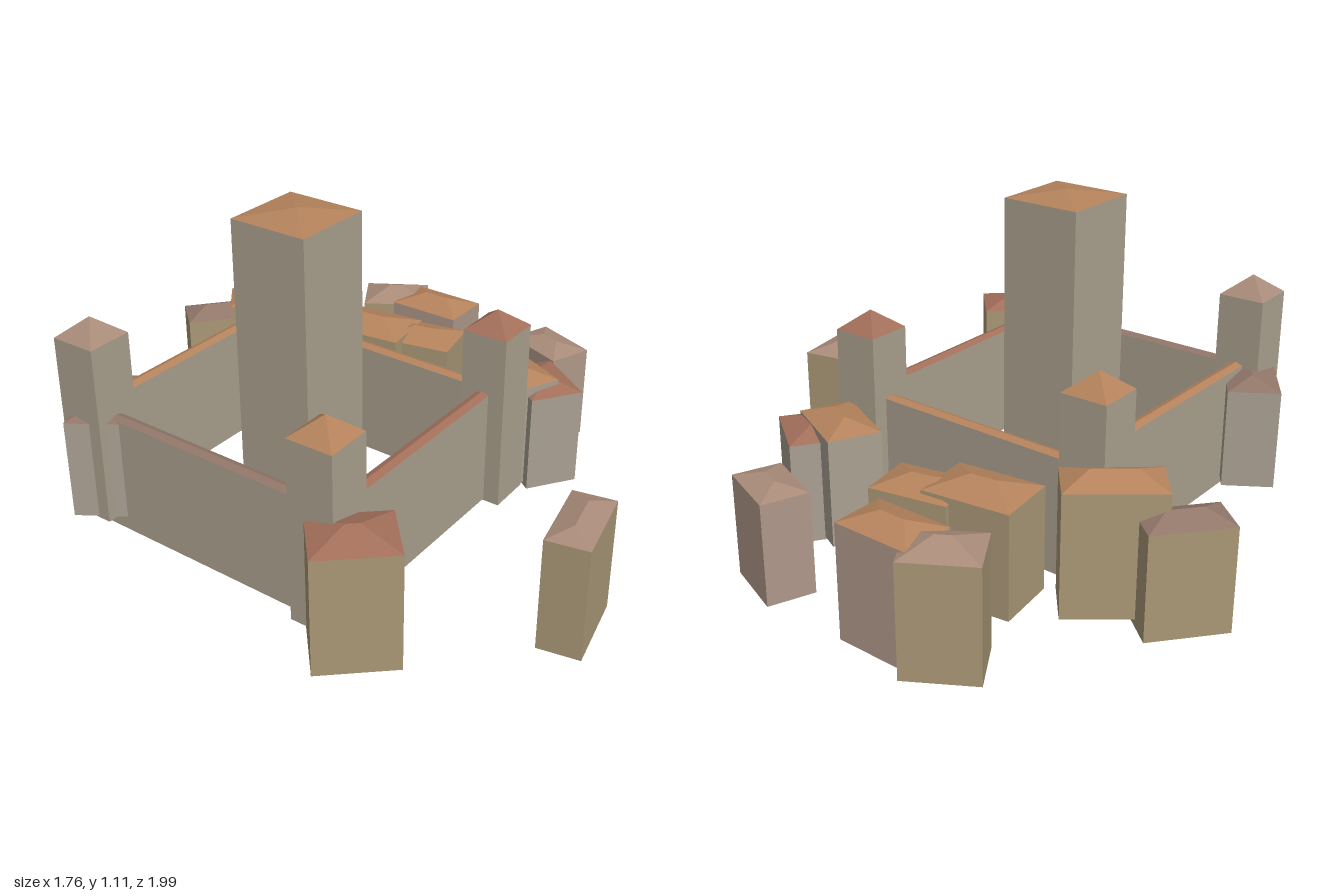
import * as THREE from 'three';

const mat = (color) => new THREE.MeshStandardMaterial({ color, flatShading: true });
const STONE = mat(0xaaa08e), TAN = mat(0xaa9877), PINK = mat(0xb0988a), GREY = mat(0xa9a091);
const ORANGE = mat(0xb5835c), RED = mat(0xa36f5a), PALE = mat(0xa98b79), DULL = mat(0x92776a);

// Hip roof: a box whose top corners are drawn together onto the ridge
function hipRoof(w, h, d) {
  const geo = new THREE.BoxGeometry(w, h, d);
  const p = geo.attributes.position;
  for (let i = 0; i < p.count; i++) {
    if (p.getY(i) < 0) continue;
    p.setX(i, Math.sign(p.getX(i)) * Math.max(0, w - d) / 2);
    p.setZ(i, Math.sign(p.getZ(i)) * Math.max(0, d - w) / 2);
  }
  geo.computeVertexNormals();
  return geo;
}

// A rectangular body with a hip roof flush with its walls
function building(name, { x, z, w, d, turn, base, eave, top, wall = STONE, roof = ORANGE }) {
  const g = new THREE.Group();
  g.name = name;
  const body = new THREE.Mesh(new THREE.BoxGeometry(w, eave - base, d), wall);
  body.name = name + 'Body';
  body.position.y = (eave + base) / 2;
  const cap = new THREE.Mesh(hipRoof(w, top - eave, d), roof);
  cap.name = name + 'Roof';
  cap.position.y = (eave + top) / 2;
  g.add(body, cap);
  g.position.set(x, 0, z);
  g.rotation.y = turn;
  return g;
}

export function createModel() {
  const model = new THREE.Group();
  model.name = 'walledTown';
  const turn = 0.2;

  // Central keep
  model.add(building('keep', { x: -0.237, z: -0.058, w: 0.274, d: 0.27, turn, base: 0.09, eave: 1.087, top: 1.11 }));

  // Corner towers: x, z, base, roof, wall base
  const towers = [
    [-0.757, -0.398, 0.15, PALE, 0.13],
    [0.108, -0.575, 0.1, ORANGE, 0.07],
    [0.277, 0.285, 0.08, RED, 0.085],
    [-0.583, 0.465, 0.12, ORANGE, 0.105],
  ];
  const wallRoofs = [ORANGE, ORANGE, RED, DULL];
  towers.forEach(([x, z, base, roof, wallBase], i) => {
    model.add(building('cornerTower', {
      x, z, w: 0.153, d: 0.153, turn: 0.22, base, eave: base + 0.595, top: base + 0.657, roof,
    }));
    // Curtain wall running to the next tower
    const [nx, nz] = towers[(i + 1) % 4];
    model.add(building('curtainWall', {
      x: (x + nx) / 2, z: (z + nz) / 2, w: Math.hypot(nx - x, nz - z), d: 0.045,
      turn: Math.atan2(z - nz, nx - x), base: wallBase, eave: wallBase + 0.387, top: wallBase + 0.396, roof: wallRoofs[i],
    }));
  });

  // Houses: x, z, width, depth, turn, base, eave, ridge height, wall, roof
  const houses = [
    [0.005, 0.873, 0.272, 0.137, 0.4, 0, 0.378, 0.403, TAN, PALE],
    [-0.61, 0.599, 0.249, 0.207, -0.635, 0.1, 0.478, 0.515, TAN, RED],
    [-0.71, -0.454, 0.31, 0.168, 0.78, 0.155, 0.487, 0.515, GREY, DULL],
    [0.052, -0.87, 0.257, 0.148, -0.5, 0.06, 0.396, 0.428, TAN, DULL],
    [0.158, -0.697, 0.3, 0.165, -0.69, 0.085, 0.48, 0.517, TAN, ORANGE],
    [0.377, -0.396, 0.205, 0.29, 0.33, 0.07, 0.41, 0.445, TAN, ORANGE],
    [0.472, -0.235, 0.184, 0.255, 0.4, 0.072, 0.39, 0.422, TAN, ORANGE],
    [0.644, -0.554, 0.232, 0.183, -0.82, 0.02, 0.387, 0.425, TAN, PALE],
    [0.686, -0.383, 0.177, 0.265, 0.2, 0.02, 0.396, 0.428, PINK, ORANGE],
    [0.786, 0.087, 0.155, 0.224, -0.16, 0.033, 0.368, 0.392, PINK, PALE],
    [0.459, 0.208, 0.174, 0.262, -0.24, 0.07, 0.43, 0.463, GREY, ORANGE],
    [0.515, 0.282, 0.18, 0.235, -0.41, 0.06, 0.397, 0.43, GREY, RED],
  ];
  for (const [x, z, w, d, t, base, eave, top, wall, roof] of houses) {
    model.add(building('house', { x, z, w, d, turn: t, base, eave, top, wall, roof }));
  }
  return model;
}
